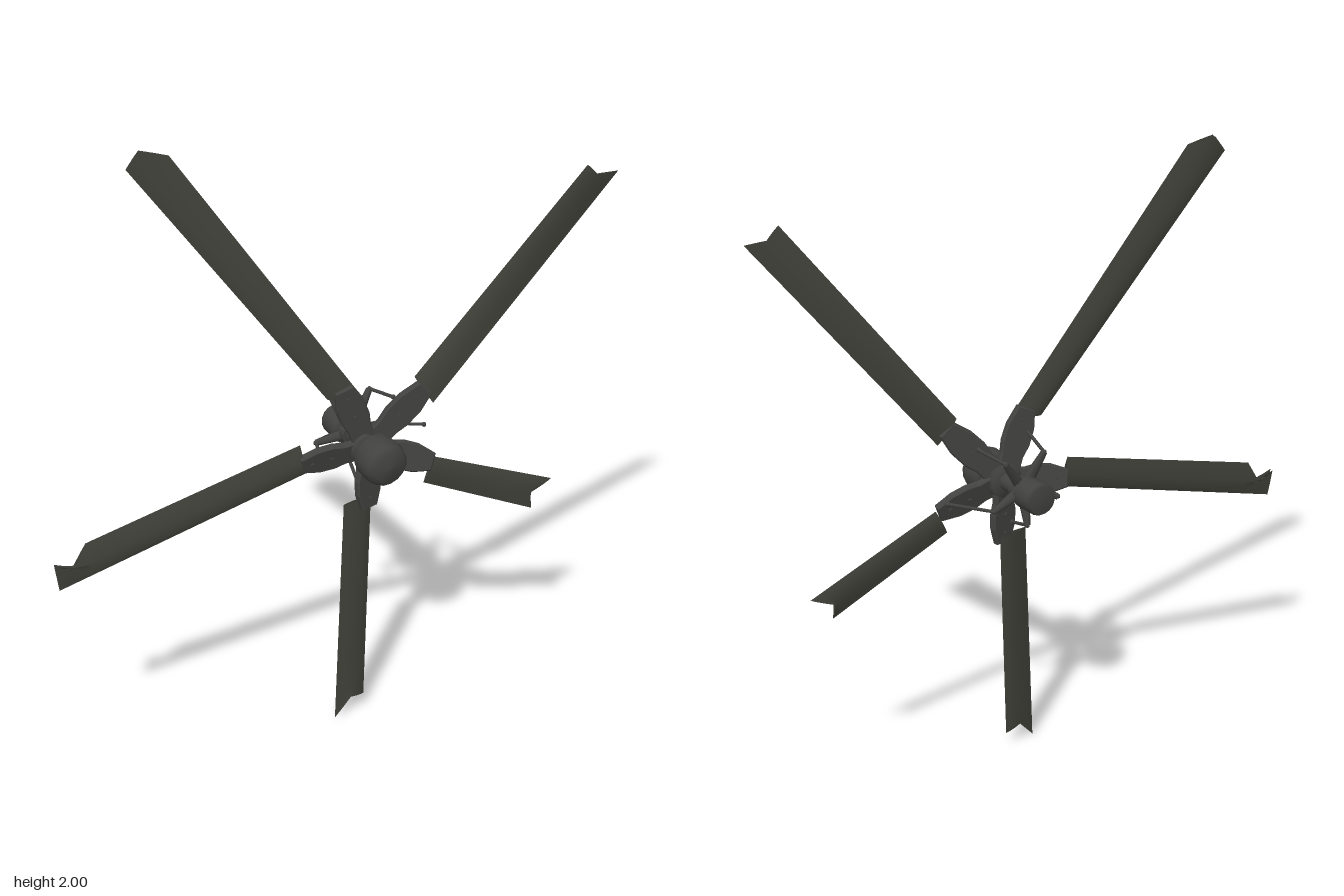
import * as THREE from 'three';

const V = (p) => new THREE.Vector3(...p);
const mix = (a, b, t) => V(a).lerp(V(b), t);

// Each blade: grip end, two root corners, the torn tip edge (same side first)
// and where the tip points sit across the chord
const BLADES = [
  { grip: [0.04, 1.19, 0.045], root: [[-0.01, 1.16, 0.04], [0.09, 1.17, 0.045]], at: [0, 0.4, 1],
    tip: [[-0.585, 1.95, -0.02], [-0.545, 2.0, -0.022], [-0.46, 1.98, -0.018]] },
  { grip: [0.3, 1.16, 0.045], root: [[0.27, 1.195, 0.034], [0.325, 1.107, 0.056]], at: [0, 0.5, 1],
    tip: [[0.78, 1.85, 0.083], [0.82, 1.81, 0.07], [0.89, 1.81, 0.06]] },
  { grip: [0.33, 0.89, 0.04], root: [[0.345, 0.9, 0.033], [0.305, 0.818, 0.042]], at: [0, 0.5, 1],
    tip: [[0.775, 0.712, -0.035], [0.695, 0.68, -0.025], [0.7, 0.625, -0.012]] },
  { grip: [0.125, 0.76, 0.035], root: [[0.14, 0.78, 0.015], [0.04, 0.785, 0.05]], at: [0, 0.5, 1],
    tip: [[0.11, 0.05, 0.052], [0.055, 0.065, 0.075], [0, 0, 0.092]] },
  { grip: [-0.09, 0.94, 0.03], root: [[-0.08, 0.91, 0.035], [-0.095, 1.01, 0.03]], at: [0, 0.2, 0.42, 1],
    tip: [[-0.88, 0.695, 0.142], [-0.89, 0.785, 0.14], [-0.835, 0.755, 0.132], [-0.79, 0.835, 0.122]] },
];
const HUB = V([0.12, 0.97, 0.03]);
const AXIS = V([0.21, -0.03, 1]).normalize();

// One curved skin of a blade; side +1 faces front, -1 faces back
function bladeSkin({ root, tip, at }, side) {
  const rows = 6, perSeg = 4, segs = tip.length - 1, n = perSeg * segs;
  const pos = [], idx = [];
  const chord = V(root[1]).sub(V(root[0]));
  const span = mix(tip[0], tip[segs], 0.5).sub(mix(root[0], root[1], 0.5));
  const normal = chord.cross(span).normalize();
  for (let r = 0; r <= rows; r++) {
    for (let c = 0; c <= n; c++) {
      const k = Math.min(segs - 1, Math.floor(c / perSeg)), u = c / perSeg - k;
      const t = at[k] + (at[k + 1] - at[k]) * u;
      // only the last row follows the torn edge
      const p = r === rows
        ? mix(tip[k], tip[k + 1], u)
        : mix(root[0], root[1], t).lerp(mix(tip[0], tip[segs], t), r / (rows - 1) * 0.9);
      p.addScaledVector(normal, side * 0.008 * Math.sin(Math.PI * Math.pow(t, 0.8)));
      pos.push(p.x, p.y, p.z);
    }
  }
  const w = n + 1;
  for (let r = 0; r < rows; r++) for (let c = 0; c < n; c++) {
    const a = r * w + c, b = a + 1, d = a + w, e = d + 1;
    if (side > 0) idx.push(a, b, e, a, e, d);
    else idx.push(a, e, b, a, d, e);
  }
  const g = new THREE.BufferGeometry();
  g.setAttribute('position', new THREE.Float32BufferAttribute(pos, 3));
  g.setIndex(idx);
  g.computeVertexNormals();
  return g;
}

// Flat arm that holds a blade root
function gripGeometry(len) {
  const half = [[0.02, 0.036], [0.35 * len, 0.034], [0.52 * len, 0.043], [0.75 * len, 0.042], [len, 0.026]];
  const pts = [...half, ...half.slice().reverse().map(([x, y]) => [x, -y])];
  const shape = new THREE.Shape(pts.map(([x, y]) => new THREE.Vector2(x, y)));
  const g = new THREE.ExtrudeGeometry(shape, {
    depth: 0.016, bevelEnabled: true, bevelSize: 0.004, bevelThickness: 0.005, bevelSegments: 1,
  });
  return g.translate(0, 0, -0.008);
}

export function createModel() {
  const model = new THREE.Group();
  const bladeMat = new THREE.MeshStandardMaterial({ color: 0x41423a });
  bladeMat.name = 'darkOlive';
  bladeMat.side = THREE.DoubleSide;
  const metal = new THREE.MeshStandardMaterial({ color: 0x424340 });
  metal.name = 'darkGrey';

  const add = (name, geometry, material = metal, parent = model) => {
    const m = new THREE.Mesh(geometry, material);
    m.name = name;
    parent.add(m);
    return m;
  };
  // Straight bar between two points
  const bar = (name, a, b, r0, r1 = r0, sides = 6) => {
    const d = b.clone().sub(a);
    const m = add(name, new THREE.CylinderGeometry(r1, r0, d.length(), sides));
    m.position.copy(a).addScaledVector(d, 0.5);
    m.quaternion.setFromUnitVectors(new THREE.Vector3(0, 1, 0), d.normalize());
  };

  // Blades and their pitched grips
  for (const b of BLADES) {
    const blade = new THREE.Group();
    blade.name = 'blade';
    model.add(blade);
    add('bladeFront', bladeSkin(b, 1), bladeMat, blade);
    add('bladeBack', bladeSkin(b, -1), bladeMat, blade);

    const dir = V(b.grip).sub(HUB), len = dir.length();
    dir.normalize();
    const across = AXIS.clone().cross(dir).normalize();
    const up = dir.clone().cross(across);
    const arm = new THREE.Group();
    arm.name = 'bladeArm';
    arm.quaternion.setFromRotationMatrix(new THREE.Matrix4().makeBasis(dir, across, up));
    arm.rotateX(-0.2);
    arm.position.copy(HUB);
    model.add(arm);
    add('grip', gripGeometry(len), metal, arm);
    for (const f of [0.55, 0.85]) {
      const bolt = add('bolt', new THREE.CylinderGeometry(0.007, 0.007, 0.034, 8), metal, arm);
      bolt.rotation.x = Math.PI / 2;
      bolt.position.x = len * f;
    }
  }

  // Hub body, front cap, shaft and rear drum, turned about the tilted axis
  const spindle = new THREE.Group();
  spindle.name = 'spindle';
  spindle.position.copy(HUB);
  spindle.quaternion.setFromUnitVectors(new THREE.Vector3(0, 1, 0), AXIS);
  model.add(spindle);
  const turned = (name, profile) => {
    const pts = profile.map(([r, y]) => new THREE.Vector2(r, y));
    add(name, new THREE.LatheGeometry(pts, 16), metal, spindle);
  };
  turned('hubPlate', [[0, -0.02], [0.055, -0.02], [0.06, 0.012], [0.035, 0.022], [0, 0.022]]);
  turned('frontCap', [[0, 0.036], [0.062, 0.038], [0.072, 0.05], [0.075, 0.105], [0.068, 0.13], [0.05, 0.147], [0, 0.153]]);
  turned('shaft', [[0, -0.13], [0.028, -0.13], [0.028, 0.045], [0, 0.045]]);
  turned('rearDrum', [[0, -0.21], [0.045, -0.21], [0.051, -0.2], [0.051, -0.125], [0.04, -0.112], [0, -0.11]]);

  // Control spider with pitch links, some bent loose
  const spider = V([0.098, 0.975, -0.07]);
  const LINKS = [
    [[0.175, 1.09, -0.12], [0.22, 1.105, -0.02]],
    [[0.04, 1.1, -0.1], [0.04, 1.12, 0.04]],
    [[-0.01, 0.94, -0.09], [-0.015, 0.93, 0.02]],
    [[0.1, 0.87, -0.11], [0.1, 0.83, 0.01]],
    [[0.22, 0.95, -0.14], [0.34, 0.965, -0.065]],
  ];
  bar('spiderHub', V([0.093, 0.975, -0.095]), V([0.103, 0.974, -0.05]), 0.04, 0.04, 10);
  for (const [a, b] of LINKS) {
    bar('spiderArm', spider, V(a), 0.022, 0.01);
    bar('pitchLink', V(a), V(b), 0.0055);
    for (const p of [a, b]) add('linkJoint', new THREE.SphereGeometry(0.008, 8, 6)).position.set(...p);
  }
  return model;
}
